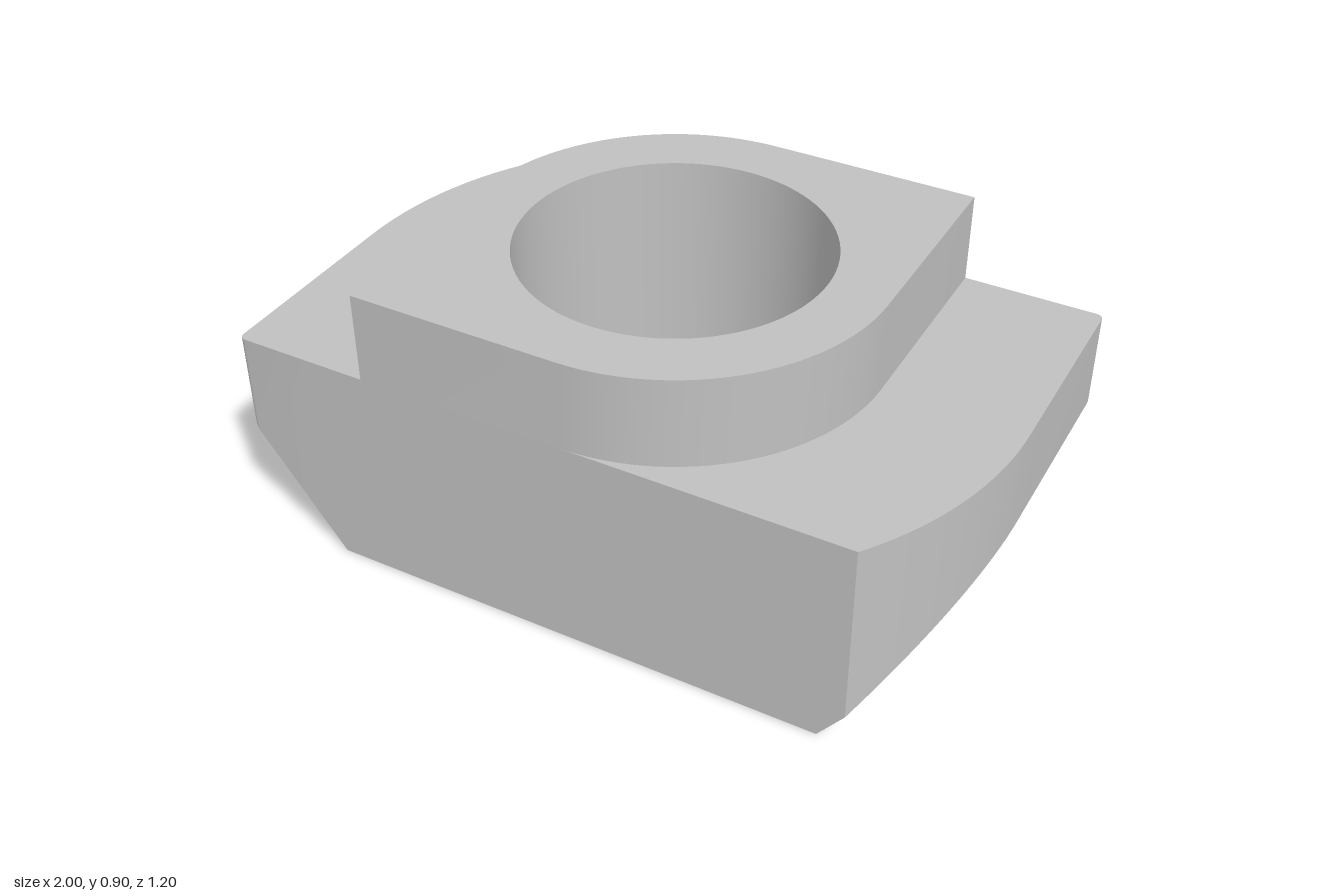
import * as THREE from 'three';
import { toCreasedNormals } from 'three/addons/utils/BufferGeometryUtils.js';

const DEPTH = 0.6, HOLE = 0.43, FOOT = 0.727, SHOULDER = 0.64, TOP = 0.9;
const SLOPE = 0.36 / (1 - FOOT);

// Points are (x, -z), counter-clockwise seen from above
function arc(cx, cy, r, from, to, n) {
  return Array.from({ length: n + 1 }, (_, i) => {
    const a = from + (to - from) * i / n;
    return new THREE.Vector2(cx + r * Math.cos(a), cy + r * Math.sin(a));
  });
}

// The outlines repeat after half a turn
const halfTurn = half => [...half, ...half.map(p => p.clone().negate())];

// Strip of quads between a lower and an upper closed loop
function strip(lower, upper) {
  const pos = [];
  lower.forEach((a, i) => {
    const j = (i + 1) % lower.length;
    const b = lower[j], c = upper[j], d = upper[i];
    for (const t of [[a, b, c], [a, c, d]]) {
      if (new THREE.Triangle(...t).getArea() > 1e-7) t.forEach(p => pos.push(p.x, p.y, p.z));
    }
  });
  const g = new THREE.BufferGeometry();
  g.setAttribute('position', new THREE.Float32BufferAttribute(pos, 3));
  return toCreasedNormals(g, 0.5);
}

// Flat face with the bore cut out, facing up or down
function plate(outline, y, down = false) {
  const shape = new THREE.Shape(outline);
  shape.holes.push(new THREE.Path().absarc(0, 0, HOLE, 0, Math.PI * 2, true));
  const g = new THREE.ShapeGeometry(shape, 48);
  g.rotateX(down ? Math.PI / 2 : -Math.PI / 2);
  return g.translate(0, y, 0);
}

export function createModel() {
  const group = new THREE.Group();
  const steel = new THREE.MeshStandardMaterial({ color: 0xc0c0c0 });
  steel.name = 'steel grey';
  const add = (name, geometry) => {
    const mesh = new THREE.Mesh(geometry, steel);
    mesh.name = name;
    group.add(mesh);
  };
  const lift = (points, height) => points.map(p => new THREE.Vector3(p.x, height(p), -p.y));

  // Wide base: two swept corners, two barely rounded ones
  const base = halfTurn([
    new THREE.Vector2(1, 0),
    ...arc(0.98, DEPTH - 0.02, 0.02, 0, Math.PI / 2, 6),
    new THREE.Vector2(FOOT, DEPTH),
    new THREE.Vector2(-FOOT, DEPTH),
    ...arc(0, 0, 1, Math.PI - Math.asin(DEPTH), Math.PI, 24).slice(0, -1),
  ]);
  const chamferTop = lift(base, p => Math.max(0, (Math.abs(p.x) - FOOT) * SLOPE));
  const chamferFoot = lift(base, () => 0);
  chamferFoot.forEach(p => { p.x = THREE.MathUtils.clamp(p.x, -FOOT, FOOT); });
  add('baseWall', strip(chamferTop, lift(base, () => SHOULDER)));
  add('baseChamfers', strip(chamferFoot, chamferTop));
  add('shoulders', plate(base, SHOULDER));
  add('underside', plate([[1, 1], [-1, 1], [-1, -1], [1, -1]].map(
    ([x, y]) => new THREE.Vector2(x * FOOT, y * DEPTH)), 0, true));

  // Raised neck with two fully rounded corners
  const neck = halfTurn([
    new THREE.Vector2(0.6, 0),
    new THREE.Vector2(0.6, DEPTH),
    ...arc(0, 0, DEPTH, Math.PI / 2, Math.PI, 24).slice(0, -1),
  ]);
  add('neckWall', strip(lift(neck, () => SHOULDER), lift(neck, () => TOP)));
  add('neckTop', plate(neck, TOP));

  // Bore through the whole body, facing inward
  add('bore', new THREE.LatheGeometry(
    [new THREE.Vector2(HOLE, TOP), new THREE.Vector2(HOLE, 0)], 96));
  return group;
}
